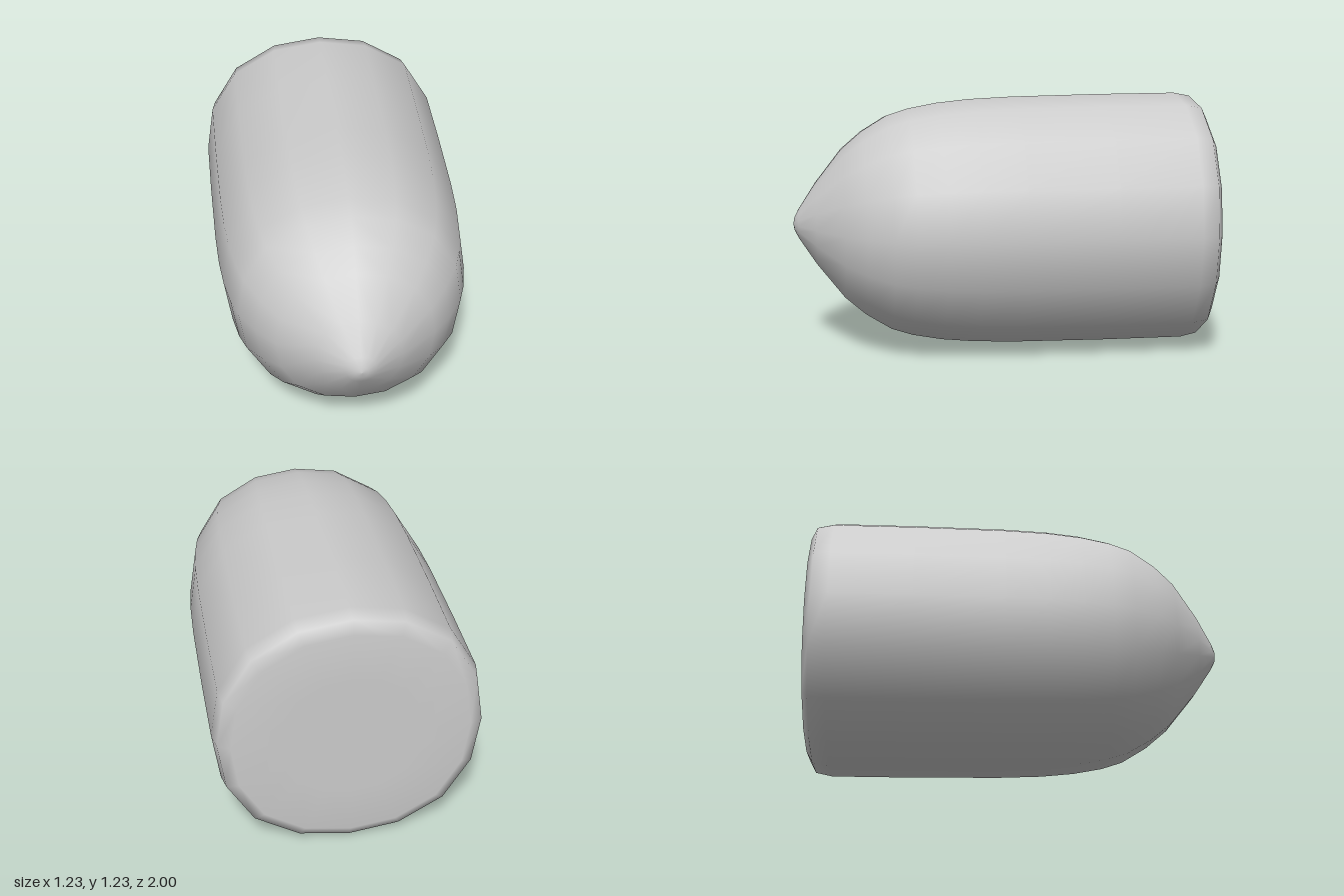
import * as THREE from 'three';

const CENTRE_Y = 0.617;

// Half profile from the flat back to the pointed nose: [radius, z]
const PROFILE = [
  [0, -1], [0.3, -1], [0.54, -1], [0.597, -0.97], [0.613, -0.89],
  [0.612, -0.5], [0.606, -0.07], [0.597, 0.14], [0.581, 0.3], [0.555, 0.44],
  [0.523, 0.54], [0.45, 0.66], [0.365, 0.76], [0.2, 0.89], [0.07, 0.975], [0.03, 0.995], [0, 1],
];

export function createModel() {
  const group = new THREE.Group();
  group.name = 'roundedSlug';

  // Sixteen-sided smooth body, turned so its axis runs along z
  const points = PROFILE.map(([r, z]) => new THREE.Vector2(r, z));
  const geometry = new THREE.LatheGeometry(points, 16);
  geometry.rotateX(Math.PI / 2);

  // Swell the diagonals slightly, giving a softly squared cross-section
  const pos = geometry.attributes.position;
  for (let i = 0; i < pos.count; i++) {
    const x = pos.getX(i), y = pos.getY(i);
    const swell = 1 + 0.039 * Math.sin(2 * Math.atan2(y, x)) ** 2;
    pos.setXY(i, x * swell, y * swell);
  }

  const body = new THREE.Mesh(geometry, new THREE.MeshStandardMaterial({ color: 0xcccccc }));
  body.name = 'body';
  body.position.y = CENTRE_Y;
  group.add(body);
  return group;
}
